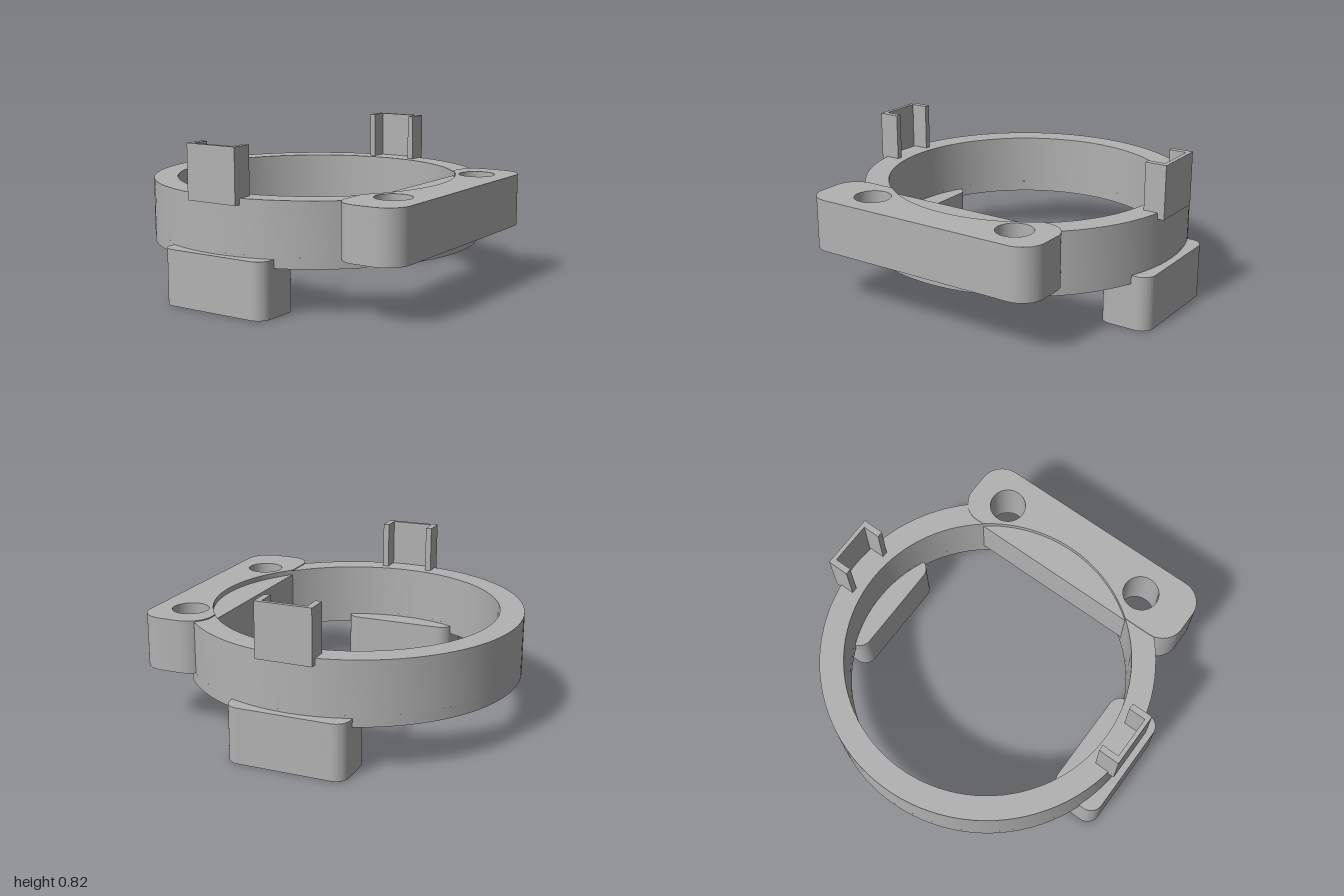
import * as THREE from 'three';
import { toCreasedNormals } from 'three/addons/utils/BufferGeometryUtils.js';

const R_OUT = 0.87, R_IN = 0.745;          // ring radii
const HOLES = [[0.75, 0.42], [0.75, -0.45]]; // screw holes in the plate
const PLATE = { u0: 0.583, u1: 0.937, v0: -0.735, v1: 0.63, r: 0.125 };

export function createModel() {
  const plastic = new THREE.MeshStandardMaterial({ color: 0xb2b2b2 });
  plastic.name = 'grey plastic';

  // Local frame: x points through the plate, -z along its length
  const body = new THREE.Group();
  body.name = 'ringMount';
  body.rotation.y = -Math.PI / 4;
  body.position.set(-0.097, 0, -0.133);

  // Extrude a plan shape upward between two heights
  function slab(name, shape, y0, y1, parent = body) {
    let g = new THREE.ExtrudeGeometry(shape, { depth: y1 - y0, bevelEnabled: false, curveSegments: 40 });
    g.rotateX(-Math.PI / 2);
    g.translate(0, y0, 0);
    g = toCreasedNormals(g, 0.5);
    const m = new THREE.Mesh(g, plastic);
    m.name = name;
    parent.add(m);
    return m;
  }

  function roundHole(shape, x, y, r) {
    const h = new THREE.Path();
    h.absarc(x, y, r, 0, Math.PI * 2, true);
    shape.holes.push(h);
  }

  function roundedRect(x0, y0, x1, y1, r) {
    const s = new THREE.Shape(), q = Math.PI / 2;
    s.absarc(x1 - r, y0 + r, r, -q, 0, false);
    s.absarc(x1 - r, y1 - r, r, 0, q, false);
    s.absarc(x0 + r, y1 - r, r, q, 2 * q, false);
    s.absarc(x0 + r, y0 + r, r, 2 * q, 3 * q, false);
    s.closePath();
    return s;
  }

  // Main ring, its ends buried in the plate
  const end = 0.665;
  const ring = new THREE.Shape();
  ring.absarc(0, 0, R_OUT, end, Math.PI * 2 - end, false);
  ring.absarc(0, 0, R_IN, Math.PI * 2 - end, end, true);
  ring.closePath();
  slab('ring', ring, 0.3, 0.572);

  // Lower rim, interrupted by round recesses around the screw holes
  function rimPiece(name, h0, h1, turn) {
    const rc = 0.135;
    const info = ([x, y]) => {
      const d = Math.hypot(x, y);
      const delta = (p) => Math.acos((p * p + d * d - rc * rc) / (2 * p * d));
      return { x, y, a: Math.atan2(y, x), o: delta(R_OUT), i: delta(R_IN) };
    };
    const s = info(h0), e = info(h1);
    e.a += turn;
    const around = (h, rho, ang) => Math.atan2(rho * Math.sin(ang) - h.y, rho * Math.cos(ang) - h.x);
    const shape = new THREE.Shape();
    shape.absarc(0, 0, R_OUT, s.a + s.o, e.a - e.o, false);
    shape.absarc(e.x, e.y, rc, around(e, R_OUT, e.a - e.o), around(e, R_IN, e.a - e.i), true);
    shape.absarc(0, 0, R_IN, e.a - e.i, s.a + s.i, true);
    shape.absarc(s.x, s.y, rc, around(s, R_IN, s.a + s.i), around(s, R_OUT, s.a + s.o), true);
    shape.closePath();
    slab(name, shape, 0.243, 0.3);
  }
  rimPiece('lowerRim', HOLES[0], HOLES[1], Math.PI * 2);
  rimPiece('lowerRimUnderPlate', HOLES[1], HOLES[0], 0);

  // Plate with two screw holes, straight inner face
  const { u0, u1, v0, v1, r } = PLATE;
  const plate = roundedRect(u0, v0, u1, v1, r);
  HOLES.forEach(([x, y]) => roundHole(plate, x, y, 0.095));
  slab('plate', plate, 0.3, 0.55);

  // Top layer of the plate, cut back to the bore to leave a crescent ledge
  const top = new THREE.Shape(), q = Math.PI / 2, bite = Math.acos(u0 / R_IN);
  top.absarc(u1 - r, v0 + r, r, -q, 0, false);
  top.absarc(u1 - r, v1 - r, r, 0, q, false);
  top.absarc(u0 + r, v1 - r, r, q, 2 * q, false);
  top.absarc(0, 0, R_IN, bite, -bite, true);
  top.absarc(u0 + r, v0 + r, r, 2 * q, 3 * q, false);
  top.closePath();
  HOLES.forEach(([x, y]) => roundHole(top, x, y, 0.095));
  slab('plateTop', top, 0.55, 0.577);

  // Foot and clip on each side of the ring
  for (const side of [0, 1]) {
    const g = new THREE.Group();
    g.name = side ? 'leftFrontSupport' : 'rightBackSupport';
    g.rotation.y = side * Math.PI;
    body.add(g);

    // Foot with a blind hole underneath
    const foot = roundedRect(-0.31, 0.63, 0.31, 0.91, 0.07);
    const cap = foot.clone();
    roundHole(foot, 0, 0.77, 0.065);
    slab('foot', foot, 0, 0.22, g);
    slab('footTop', cap, 0.22, 0.287, g);

    // U-shaped clip, open toward the ring centre
    const w = 0.145, t = 0.032, wall = 0.022, vi = 0.78, vo = 0.893;
    const clip = new THREE.Shape([
      [-w, vi], [-w + t, vi], [-w + t, vo - wall], [w - t, vo - wall],
      [w - t, vi], [w, vi], [w, vo], [-w, vo],
    ].map(([x, y]) => new THREE.Vector2(x, y)));
    slab('clip', clip, 0.54, 0.82, g);
  }

  const model = new THREE.Group();
  model.name = 'model';
  model.add(body);
  return model;
}
